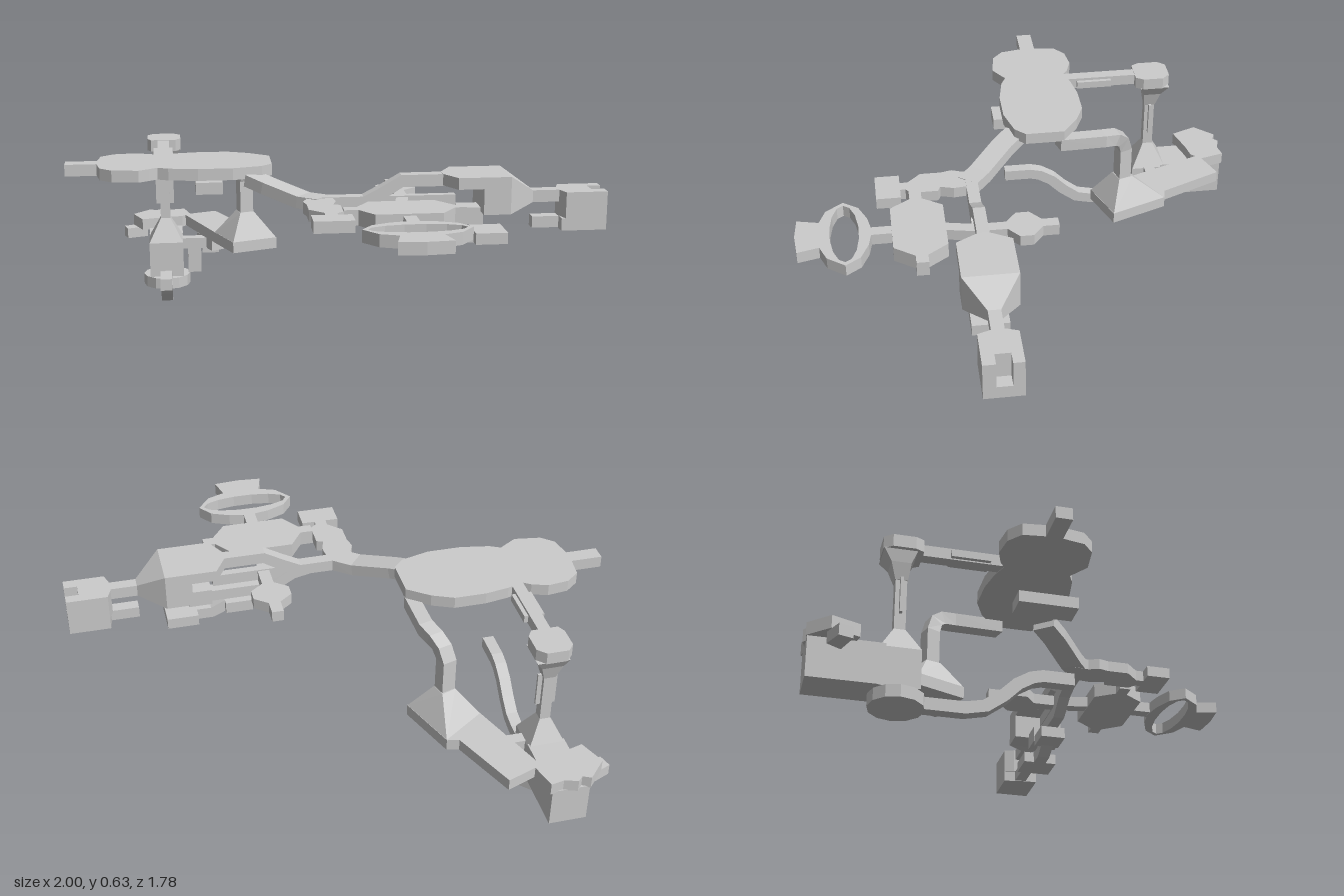
import * as THREE from 'three';

const mat = new THREE.MeshStandardMaterial({ color: 0xcccccc, flatShading: true, side: THREE.DoubleSide });

export function createModel() {
  const root = new THREE.Group();

  const add = (name, geo) => {
    const m = new THREE.Mesh(geo, mat);
    m.name = name;
    root.add(m);
    return m;
  };

  // flat floor plate from an [x, z] outline between two heights
  const slab = (name, pts, y0, y1, hole) => {
    const shape = new THREE.Shape(pts.map(p => new THREE.Vector2(p[0], p[1])));
    if (hole) shape.holes.push(new THREE.Path(hole.map(p => new THREE.Vector2(p[0], p[1]))));
    const geo = new THREE.ExtrudeGeometry(shape, { depth: y1 - y0, bevelEnabled: false });
    geo.rotateX(Math.PI / 2).translate(0, y1, 0);
    return add(name, geo);
  };

  const box = (name, x0, x1, y0, y1, z0, z1) => {
    const geo = new THREE.BoxGeometry(x1 - x0, y1 - y0, z1 - z0);
    geo.translate((x0 + x1) / 2, (y0 + y1) / 2, (z0 + z1) / 2);
    return add(name, geo);
  };

  // skin over a row of four-cornered rings, capped at both ends
  const loft = (name, rings) => {
    const pos = [];
    const quad = (a, b, c, d) => [a, b, c, a, c, d].forEach(v => pos.push(...v));
    for (let i = 0; i < rings.length - 1; i++) {
      const a = rings[i], b = rings[i + 1];
      for (let j = 0; j < 4; j++) {
        const k = (j + 1) % 4;
        quad(a[j], a[k], b[k], b[j]);
      }
    }
    const s = rings[0], e = rings[rings.length - 1];
    quad(s[3], s[2], s[1], s[0]);
    quad(e[0], e[1], e[2], e[3]);
    const geo = new THREE.BufferGeometry();
    geo.setAttribute('position', new THREE.Float32BufferAttribute(pos, 3));
    geo.computeVertexNormals();
    return add(name, geo);
  };

  // rectangular passage along a path; side is the fixed sideways direction
  const passage = (name, path, side, w, h) => {
    const p = path.map(q => new THREE.Vector3(...q));
    const s = new THREE.Vector3(...side).normalize();
    loft(name, p.map((c, i) => {
      const a = p[Math.max(i - 1, 0)], b = p[Math.min(i + 1, p.length - 1)];
      const u = b.clone().sub(a).normalize().cross(s).normalize();
      return [[-1, -1], [1, -1], [1, 1], [-1, 1]].map(([i, j]) =>
        c.clone().addScaledVector(s, i * w / 2).addScaledVector(u, j * h / 2).toArray());
    }));
  };

  // rectangle rings for lofts going up (y) and sideways (x)
  const ringY = (y, x0, x1, z0, z1) => [[x0, y, z1], [x1, y, z1], [x1, y, z0], [x0, y, z0]];
  const ringX = (x, y0, y1, z0, z1) => [[x, y0, z0], [x, y1, z0], [x, y1, z1], [x, y0, z1]];

  // great hall with lobed end and tail
  slab('greatHall', [[-1, -0.12], [-0.88, -0.12], [-0.87, -0.2], [-0.82, -0.24], [-0.74, -0.25], [-0.68, -0.23],
    [-0.65, -0.21], [-0.59, -0.23], [-0.5, -0.245], [-0.38, -0.245], [-0.3, -0.21], [-0.22, -0.15], [-0.22, 0],
    [-0.26, 0.04], [-0.37, 0.07], [-0.5, 0.07], [-0.61, 0.05], [-0.65, 0.03], [-0.68, 0.05], [-0.72, 0.075],
    [-0.82, 0.06], [-0.865, 0.02], [-0.88, -0.06], [-1, -0.06]], 0.585, 0.63);
  box('hallUnderside', -0.51, -0.41, 0.54, 0.585, -0.12, 0.105);

  // bridge to the tower
  box('bridge', -0.653, -0.607, 0.587, 0.63, -0.57, -0.2);
  box('bridgeSides', -0.668, -0.592, 0.592, 0.62, -0.4, -0.26);

  // tower: head, column, flared foot, round base
  slab('towerHead', [[-0.68, -0.5], [-0.58, -0.5], [-0.56, -0.53], [-0.56, -0.61], [-0.59, -0.64], [-0.67, -0.64],
    [-0.695, -0.61], [-0.695, -0.53]], 0.585, 0.632);
  loft('towerCorbel', [ringY(0.48, -0.652, -0.608, -0.592, -0.548), ringY(0.54, -0.67, -0.59, -0.61, -0.54),
    ringY(0.587, -0.68, -0.56, -0.638, -0.52)]);
  box('towerColumn', -0.65, -0.61, 0.28, 0.5, -0.59, -0.55);
  box('columnRibs', -0.667, -0.593, 0.35, 0.485, -0.575, -0.565);
  loft('towerFoot', [ringY(0.05, -0.7, -0.56, -0.64, -0.5), ringY(0.195, -0.7, -0.56, -0.64, -0.5),
    ringY(0.29, -0.65, -0.61, -0.59, -0.55)]);
  add('roundBase', new THREE.CylinderGeometry(0.097, 0.097, 0.045, 12).translate(-0.63, 0.025, -0.57));

  // curling tail tunnel
  passage('tailTunnel', [[-0.63, 0.025, -0.57], [-0.63, 0.025, -0.34], [-0.63, 0.04, -0.27], [-0.63, 0.085, -0.21],
    [-0.63, 0.135, -0.16], [-0.63, 0.165, -0.11], [-0.63, 0.175, -0.07], [-0.63, 0.175, 0.04]], [1, 0, 0], 0.045, 0.045);

  // rear chamber and its irregular roof
  box('rearChamber', -0.7, -0.56, 0.052, 0.205, -0.88, -0.62);
  slab('chamberRoof', [[-0.7, -0.885], [-0.67, -0.87], [-0.65, -0.89], [-0.6, -0.875], [-0.55, -0.885], [-0.525, -0.79],
    [-0.56, -0.75], [-0.62, -0.74], [-0.73, -0.71], [-0.77, -0.81]], 0.2, 0.247);
  slab('chamberArm', [[-0.81, -0.79], [-0.74, -0.82], [-0.71, -0.77], [-0.795, -0.74]], 0.157, 0.2);

  // slanted gallery with crank to the tower
  slab('slantedGallery', [[-0.55, -0.78], [-0.415, -0.83], [-0.31, -0.585], [-0.265, -0.575], [-0.18, -0.35],
    [-0.36, -0.285], [-0.43, -0.46]], 0.202, 0.247);
  slab('galleryStep', [[-0.5, -0.64], [-0.45, -0.66], [-0.39, -0.53], [-0.44, -0.5]], 0.155, 0.203);
  box('galleryLink', -0.57, -0.43, 0.155, 0.2, -0.595, -0.55);
  box('galleryDrop', -0.54, -0.485, 0.052, 0.157, -0.6, -0.55);
  box('galleryHook', -0.48, -0.41, 0.135, 0.16, -0.6, -0.55);

  // flared shaft bending up to the hall
  loft('shaftFlare', [
    [[-0.36, 0.245, -0.285], [-0.18, 0.245, -0.35], [-0.265, 0.245, -0.575], [-0.43, 0.245, -0.46]],
    [[-0.325, 0.35, -0.365], [-0.27, 0.35, -0.385], [-0.285, 0.35, -0.44], [-0.34, 0.35, -0.42]]]);
  passage('bentShaft', [[-0.305, 0.34, -0.402], [-0.305, 0.48, -0.402], [-0.29, 0.53, -0.388], [-0.27, 0.555, -0.36],
    [-0.25, 0.565, -0.31], [-0.245, 0.565, -0.13]], [1, 0, -0.3], 0.055, 0.05);

  // diagonal ramp and main corridor
  passage('diagonalRamp', [[-0.3, 0.58, 0.03], [-0.24, 0.563, 0.09], [-0.12, 0.53, 0.19], [-0.05, 0.53, 0.245]],
    [-0.63, 0, 0.77], 0.085, 0.045);
  passage('mainCorridor', [[-0.08, 0.53, 0.23], [0.1, 0.53, 0.23], [0.17, 0.565, 0.23], [0.24, 0.607, 0.23],
    [0.45, 0.607, 0.23]], [0, 0, 1], 0.045, 0.045);
  passage('lowerCorridor', [[0.06, 0.53, 0.23], [0.13, 0.515, 0.23], [0.21, 0.465, 0.23], [0.54, 0.465, 0.23]],
    [0, 0, 1], 0.045, 0.045);
  box('middleCorridor', 0.1, 0.44, 0.505, 0.55, 0.215, 0.245);

  // side branch with end room
  slab('sideBranch', [[-0.12, 0.2], [-0.02, 0.21], [-0.01, 0.3], [-0.025, 0.35], [0, 0.36], [0, 0.46], [-0.025, 0.48],
    [-0.025, 0.5], [0.025, 0.5], [0.025, 0.592], [-0.12, 0.592], [-0.12, 0.5], [-0.07, 0.5], [-0.07, 0.47],
    [-0.12, 0.42], [-0.12, 0.34], [-0.13, 0.3], [-0.115, 0.26]], 0.507, 0.55);

  // small room behind, large room and ring in front
  slab('smallRoom', [[0.22, -0.06], [0.265, -0.06], [0.265, 0], [0.315, 0.04], [0.315, 0.09], [0.265, 0.13],
    [0.265, 0.24], [0.24, 0.36], [0.195, 0.36], [0.22, 0.24], [0.22, 0.13], [0.17, 0.09], [0.17, 0.04], [0.22, 0]],
    0.502, 0.545);
  slab('largeRoom', [[0.1, 0.35], [0.34, 0.35], [0.395, 0.425], [0.437, 0.425], [0.437, 0.47], [0.395, 0.47],
    [0.34, 0.545], [0.1, 0.545], [0.05, 0.47], [0, 0.47], [0, 0.425], [0.05, 0.425]], 0.5, 0.557);
  box('ringNeck', 0.197, 0.243, 0.507, 0.55, 0.54, 0.63);
  const outer = [[0.14, 0.63], [0.22, 0.615], [0.3, 0.63], [0.37, 0.66], [0.41, 0.715], [0.36, 0.78], [0.295, 0.805],
    [0.315, 0.885], [0.22, 0.893], [0.125, 0.885], [0.145, 0.805], [0.08, 0.78], [0.03, 0.715], [0.07, 0.66]];
  const inner = [...Array(14).keys()].map(i => {
    const a = i / 14 * Math.PI * 2;
    return [0.22 + 0.17 * Math.cos(a), 0.715 + 0.053 * Math.sin(a)];
  });
  slab('ringRoom', outer, 0.505, 0.55, inner);

  // tapered east room
  slab('eastRoomRoof', [[0.39, 0.21], [0.435, 0.13], [0.63, 0.13], [0.63, 0.33], [0.435, 0.33], [0.39, 0.25]], 0.587, 0.63);
  loft('eastRoom', [ringX(0.53, 0.49, 0.63, 0.13, 0.33), ringX(0.63, 0.49, 0.63, 0.13, 0.33),
    ringX(0.73, 0.515, 0.56, 0.207, 0.253), ringX(0.85, 0.515, 0.56, 0.207, 0.253)]);
  box('eastRoomStem', 0.45, 0.54, 0.44, 0.505, 0.19, 0.27);

  // end room with notched outer wall
  slab('endRoomFloor', [[0.83, 0.255], [0.845, 0.16], [1, 0.16], [1, 0.3], [0.83, 0.3]], 0.415, 0.462);
  slab('endRoom', [[0.83, 0.2], [0.845, 0.16], [1, 0.16], [1, 0.2], [0.95, 0.2], [0.95, 0.255], [1, 0.255], [1, 0.3],
    [0.845, 0.3], [0.83, 0.255]], 0.46, 0.56);
  box('endRoomSpur', 0.73, 0.84, 0.417, 0.46, 0.207, 0.253);

  // lowest ramp under the east room
  box('lowLanding', 0.295, 0.4, 0.395, 0.44, 0.18, 0.28);
  passage('lowRamp', [[0.39, 0.418, 0.23], [0.45, 0.39, 0.23], [0.52, 0.39, 0.23]], [0, 0, 1], 0.05, 0.045);
  box('lowRoom', 0.51, 0.63, 0.37, 0.413, 0.165, 0.3);

  return root;
}
